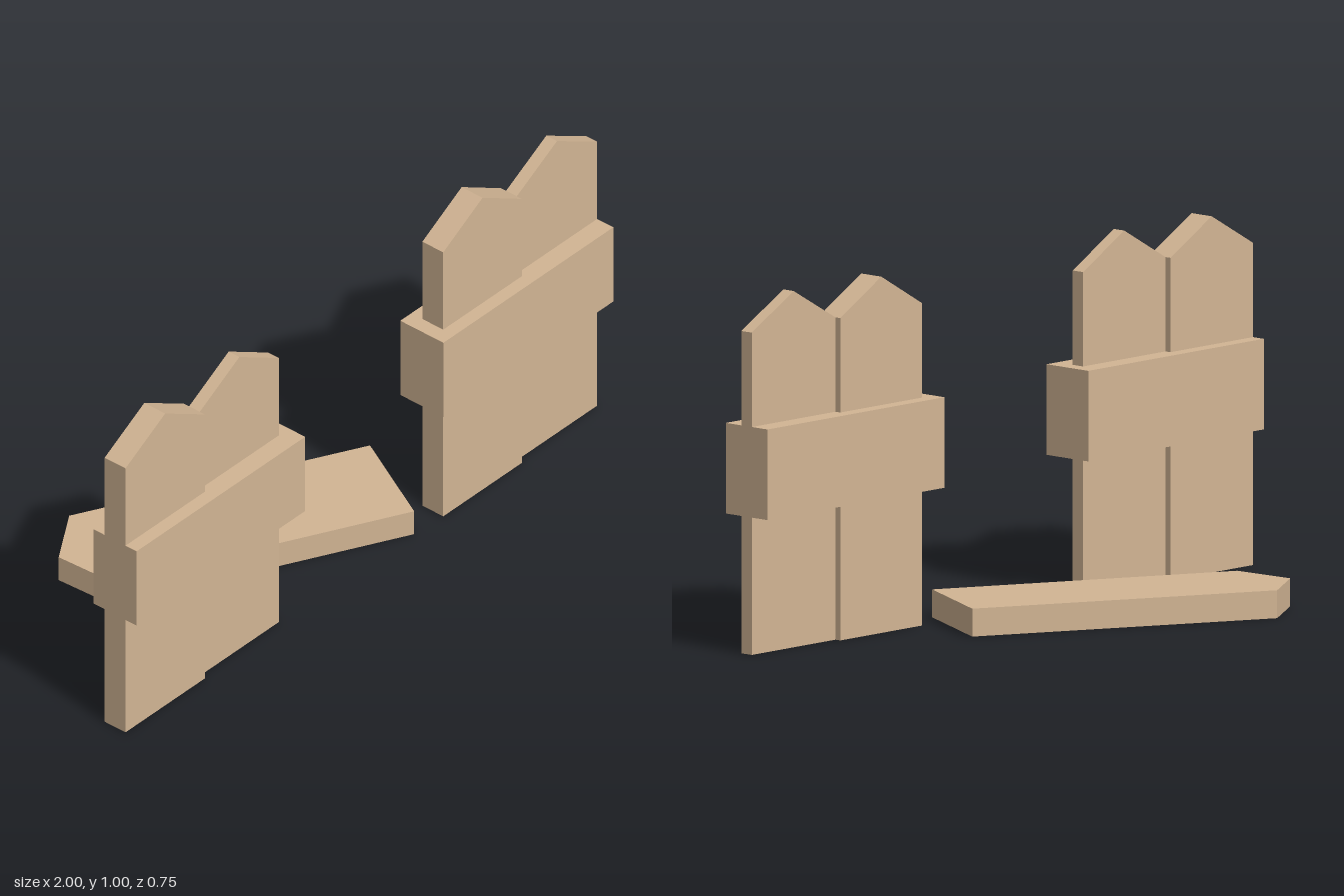
import * as THREE from 'three';

const wood = new THREE.MeshStandardMaterial({ color: 0xd2b594, flatShading: true });

// Flat board cut from an outline of [x, y] points
function board(points, depth) {
  const shape = new THREE.Shape(points.map(([x, y]) => new THREE.Vector2(x, y)));
  return new THREE.ExtrudeGeometry(shape, { depth, bevelEnabled: false });
}

function addMesh(parent, name, geometry) {
  const mesh = new THREE.Mesh(geometry, wood);
  mesh.name = name;
  parent.add(mesh);
}

// Upright plank with a pointed top
function addPicket(parent, name, x0, x1, thickness) {
  const outline = [[x0, 0], [x1, 0], [x1, 0.9], [(x0 + x1) / 2, 0.995], [x0, 0.9]];
  addMesh(parent, name, board(outline, thickness).translate(0, 0, 0.296 - thickness / 2));
}

// Two pickets, thick then thin, held by one broad rail
function fenceSection(name, x0, x1, x2, railStart, railEnd) {
  const section = new THREE.Group();
  section.name = name;
  addPicket(section, 'thickPicket', x0, x1, 0.076);
  addPicket(section, 'thinPicket', x1, x2, 0.039);
  const rail = new THREE.BoxGeometry(railEnd - railStart, 0.253, 0.157);
  addMesh(section, 'rail', rail.translate((railStart + railEnd) / 2, 0.51, 0.296));
  return section;
}

export function createModel() {
  const fence = new THREE.Group();
  fence.name = 'brokenFence';
  fence.add(fenceSection('rightSection', -1, -0.667, -0.335, -1, -0.293));
  fence.add(fenceSection('leftSection', 0.333, 0.663, 1, 0.287, 1));

  // Picket lying flat on the ground, outlined in x and z
  const fallen = [[-0.42, -0.375], [0.37, 0.035], [0.218, 0.328], [-0.575, -0.08], [-0.585, -0.27]];
  addMesh(fence, 'fallenPicket', board(fallen, 0.078).rotateX(Math.PI / 2).translate(0, 0.078, 0));
  return fence;
}
